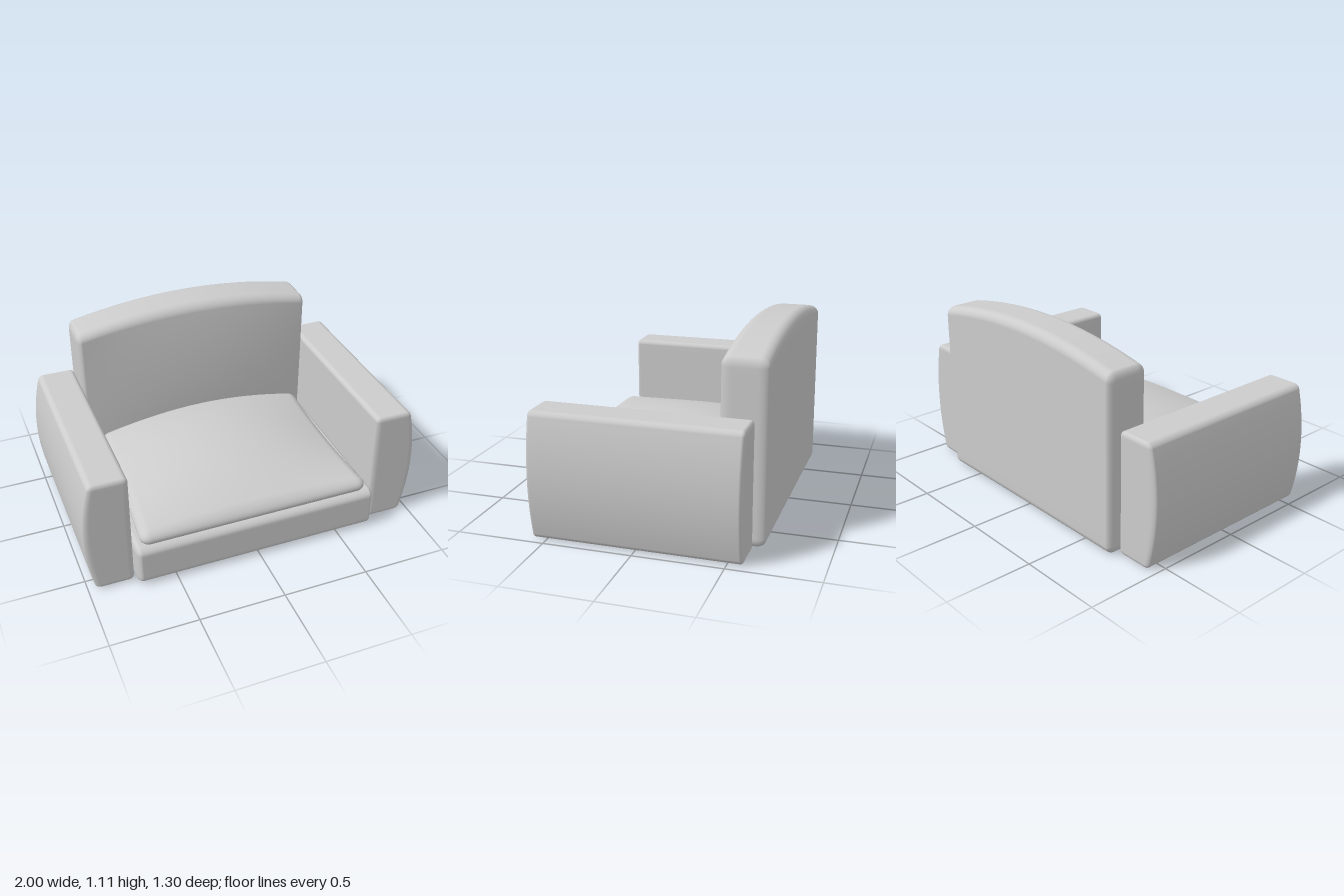
import * as THREE from 'three';
import { mergeVertices } from 'three/addons/utils/BufferGeometryUtils.js';

const N = 26; // grid steps per box side
const K = 5;  // steps spent on each rounded edge

// Padded box with its own rounding radius per axis.
// warp(p, q) then shapes it: p is the point, q its place in the box from -1 to 1.
function softBox(name, min, max, radius, warp) {
  let geometry = new THREE.BoxGeometry(2, 2, 2, N, N, N);
  const pos = geometry.attributes.position;
  const p = new THREE.Vector3(), q = new THREE.Vector3(), d = new THREE.Vector3();
  for (let v = 0; v < pos.count; v++) {
    const inner = [0, 0, 0];
    for (let a = 0; a < 3; a++) {
      const half = (max[a] - min[a]) / 2 - radius[a];
      const i = Math.round((pos.getComponent(v, a) + 1) / 2 * N);
      let edge = 0;
      if (i < K) edge = -(K - i) / K;
      else if (i > N - K) edge = (i - N + K) / K;
      d.setComponent(a, Math.tan(edge * Math.PI / 4));
      inner[a] = half * THREE.MathUtils.clamp((2 * i - N) / (N - 2 * K), -1, 1);
    }
    d.normalize();
    for (let a = 0; a < 3; a++) {
      const local = inner[a] + d.getComponent(a) * radius[a];
      q.setComponent(a, local * 2 / (max[a] - min[a]));
      p.setComponent(a, local + (max[a] + min[a]) / 2);
    }
    if (warp) warp(p, q);
    pos.setXYZ(v, p.x, p.y, p.z);
  }
  // weld the six sides so the padding shades smoothly
  geometry.deleteAttribute('normal');
  geometry.deleteAttribute('uv');
  geometry = mergeVertices(geometry, 1e-5);
  geometry.computeVertexNormals();
  const mesh = new THREE.Mesh(geometry, new THREE.MeshStandardMaterial({ color: 0xcccccc }));
  mesh.name = name;
  return mesh;
}

export function createModel() {
  const sofa = new THREE.Group();
  sofa.name = 'armchair';

  // Seat base
  sofa.add(softBox('seatBase', [-0.727, 0.008, -0.39], [0.727, 0.26, 0.648], [0.03, 0.045, 0.06]));

  // Seat cushion: domed top, slightly uneven sides
  sofa.add(softBox('seatCushion', [-0.68, 0.258, -0.385], [0.68, 0.345, 0.64], [0.06, 0.043, 0.06], (p, q) => {
    const z = p.z / 0.64;
    const dome = (1 - q.x * q.x) * Math.max(0, 1 - z * z);
    p.y += 0.13 * dome * (q.y + 1) / 2;
    const leftSide = (q.x + 1) / 2, rightSide = 1 - leftSide;
    p.x -= leftSide * 0.025 * (1 - q.z * q.z);
    p.x += rightSide * (0.015 - 0.025 * q.z - 0.01 * q.z * q.z);
  }));

  // Backrest: arched top and a front that swells towards the middle
  sofa.add(softBox('backrest', [-0.73, 0.006, -0.65], [0.73, 1.03, -0.395], [0.03, 0.05, 0.055], (p, q) => {
    const arch = 1 - q.x * q.x;
    p.y += 0.085 * arch * (q.y + 1) / 2;
    p.z += 0.042 * arch * (1 - q.y * q.y) * (q.z + 1) / 2;
  }));

  // Armrests: flat inside, bowed outside
  for (const side of [1, -1]) {
    const x = [side * 0.733, side * 0.95].sort((a, b) => a - b);
    sofa.add(softBox(side > 0 ? 'leftArmrest' : 'rightArmrest',
      [x[0], 0.005, -0.585], [x[1], 0.722, 0.585], [0.028, 0.028, 0.02], (p, q) => {
        p.x += side * 0.05 * (1 - q.y * q.y) * (side * q.x + 1) / 2;
      }));
  }

  return sofa;
}
